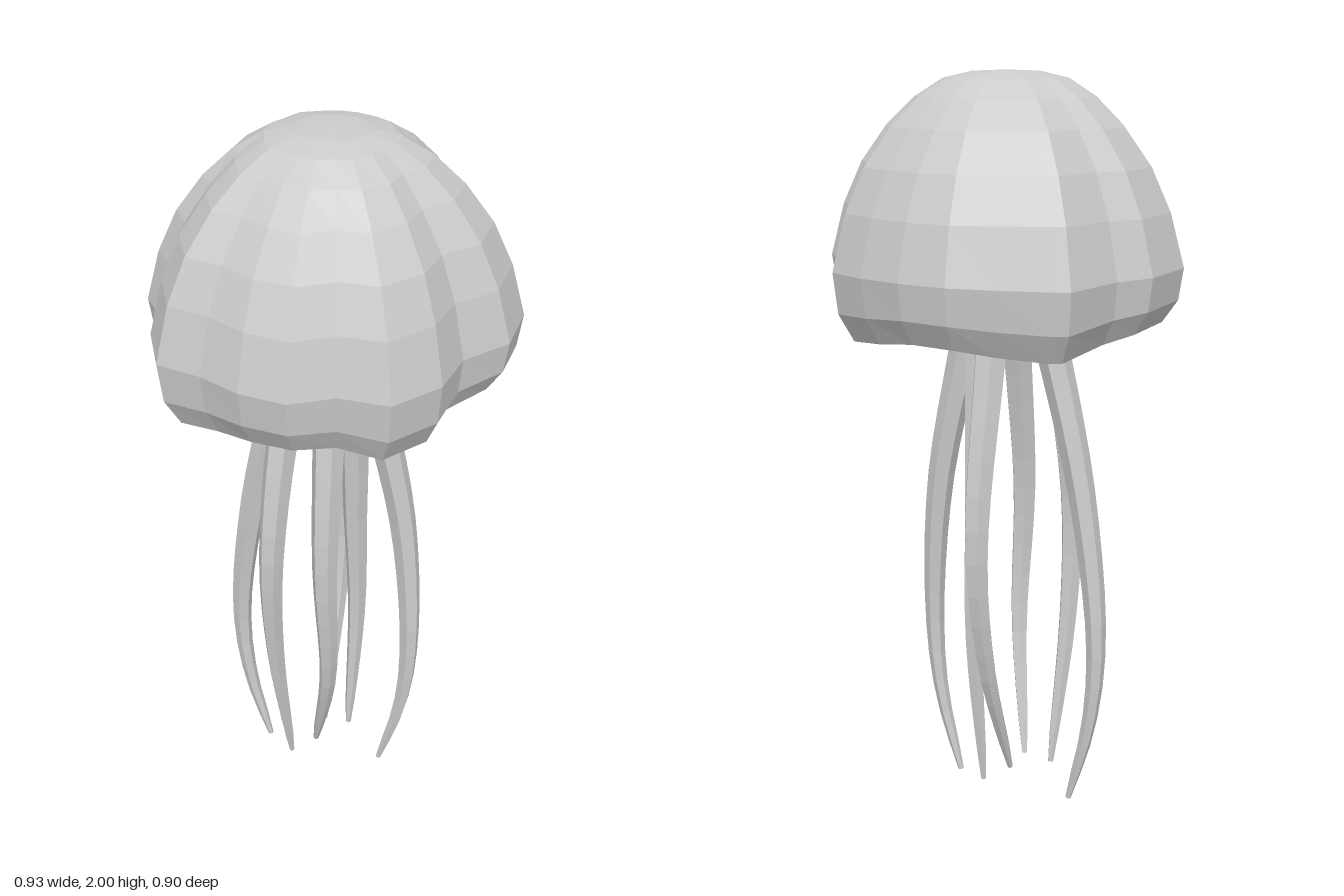
import * as THREE from 'three';

const material = new THREE.MeshStandardMaterial({
  color: 0xcccccc, flatShading: true, side: THREE.DoubleSide,
});

// Lobed plan outline of the bell, [x, z], going round from the back
const OUTLINE = [
  [-0.08, -0.455], [0.05, -0.45], [0.18, -0.41], [0.3, -0.355], [0.35, -0.22],
  [0.46, -0.125], [0.455, 0.035], [0.365, 0.14], [0.345, 0.265], [0.255, 0.38],
  [0.13, 0.385], [0.03, 0.45], [-0.09, 0.435], [-0.2, 0.385], [-0.32, 0.36],
  [-0.39, 0.23], [-0.41, 0.135], [-0.465, 0.07], [-0.455, -0.11], [-0.395, -0.185],
  [-0.35, -0.345], [-0.315, -0.36], [-0.19, -0.41],
];

// Bell section: [radius scale, height, lobe strength, rim wave strength]
const OUTER = [
  [0, 2, 0, 0], [0.2, 1.997, 0.2, 0], [0.36, 1.98, 0.5, 0],
  [0.51, 1.935, 0.8, 0], [0.66, 1.865, 1, 0], [0.81, 1.77, 1, 0],
  [0.92, 1.66, 1, 0], [1, 1.52, 1, 0.2], [0.975, 1.425, 1, 0.7], [0.89, 1.359, 1, 1],
];
// Underside: lip, hollow, then the central stalk that carries the tentacles
const INNER = [
  [0.89, 1.359, 1, 1], [0.72, 1.385, 0.3, 0.5], [0.77, 1.46, 0.3, 0.2],
  [0.78, 1.58, 0.3, 0], [0.68, 1.7, 0.2, 0], [0.5, 1.78, 0.2, 0],
  [0.36, 1.7, 0, 0], [0.34, 1.52, 0, 0], [0.28, 1.44, 0, 0], [0, 1.41, 0, 0],
];

// Sweeps a section round the lobed outline
function lobedShell(rows) {
  const n = OUTLINE.length, pos = [], index = [];
  for (const [scale, y, lobe, wave] of rows) {
    for (const [x, z] of OUTLINE) {
      const a = Math.atan2(z, x);
      const r = scale * THREE.MathUtils.lerp(0.43, Math.hypot(x, z), lobe);
      const dy = wave * (0.02 * Math.cos(4 * a) + 0.01 * Math.cos(2 * a));
      pos.push(r * Math.cos(a), y + dy, r * Math.sin(a));
    }
  }
  for (let i = 0; i < rows.length - 1; i++) {
    for (let j = 0; j < n; j++) {
      const a = i * n + j, b = i * n + (j + 1) % n;
      index.push(a, b, a + n, b, b + n, a + n);
    }
  }
  const geo = new THREE.BufferGeometry();
  geo.setAttribute('position', new THREE.Float32BufferAttribute(pos, 3));
  geo.setIndex(index);
  geo.computeVertexNormals();
  return geo;
}

// Tentacle paths from root to tip
const TENTACLES = {
  tentacleRight: [[-0.09, 1.46, 0], [-0.145, 1.25, 0.01], [-0.225, 0.9, 0.01], [-0.277, 0.5, 0], [-0.26, 0.25, 0], [-0.2, 0.005, 0]],
  tentacleLeft: [[0.08, 1.46, 0], [0.13, 1.25, 0], [0.2, 0.9, -0.01], [0.232, 0.5, 0], [0.213, 0.25, 0], [0.15, 0.005, 0]],
  tentacleFrontRight: [[-0.06, 1.46, 0.07], [-0.09, 1.25, 0.12], [-0.115, 0.85, 0.18], [-0.12, 0.5, 0.155], [-0.1, 0.05, 0.09]],
  tentacleFront: [[0.02, 1.46, 0.08], [0.03, 1.25, 0.125], [0.035, 0.85, 0.18], [0.035, 0.45, 0.15], [-0.035, 0.08, 0.05]],
  tentacleBack: [[-0.02, 1.46, -0.09], [-0.025, 1.25, -0.14], [-0.03, 0.8, -0.222], [-0.035, 0.45, -0.18], [-0.035, 0.08, -0.04]],
  tentacleBackLeft: [[0.04, 1.46, -0.06], [0.04, 1.25, -0.075], [0.04, 0.85, -0.095], [0.045, 0.5, -0.105], [0.03, 0.045, -0.08]],
};

// Tube whose rings shrink towards the tip
function taperedTube(points) {
  const segments = 16, sides = 6;
  const path = new THREE.CatmullRomCurve3(points.map((p) => new THREE.Vector3(...p)));
  const geo = new THREE.TubeGeometry(path, segments, 1, sides);
  const pos = geo.attributes.position, v = new THREE.Vector3();
  for (let i = 0; i <= segments; i++) {
    const t = i / segments, c = path.getPointAt(t);
    const r = 0.008 + 0.039 * Math.pow(1 - t, 0.65);
    for (let j = 0; j <= sides; j++) {
      const k = i * (sides + 1) + j;
      v.fromBufferAttribute(pos, k).sub(c).multiplyScalar(r).add(c);
      pos.setXYZ(k, v.x, v.y, v.z);
    }
  }
  geo.computeVertexNormals();
  return geo;
}

export function createModel() {
  const model = new THREE.Group();
  model.name = 'jellyfish';
  const add = (name, geo) => {
    const mesh = new THREE.Mesh(geo, material);
    mesh.name = name;
    model.add(mesh);
  };
  add('bell', lobedShell(OUTER));
  add('underside', lobedShell(INNER));
  for (const [name, points] of Object.entries(TENTACLES)) add(name, taperedTube(points));
  return model;
}
